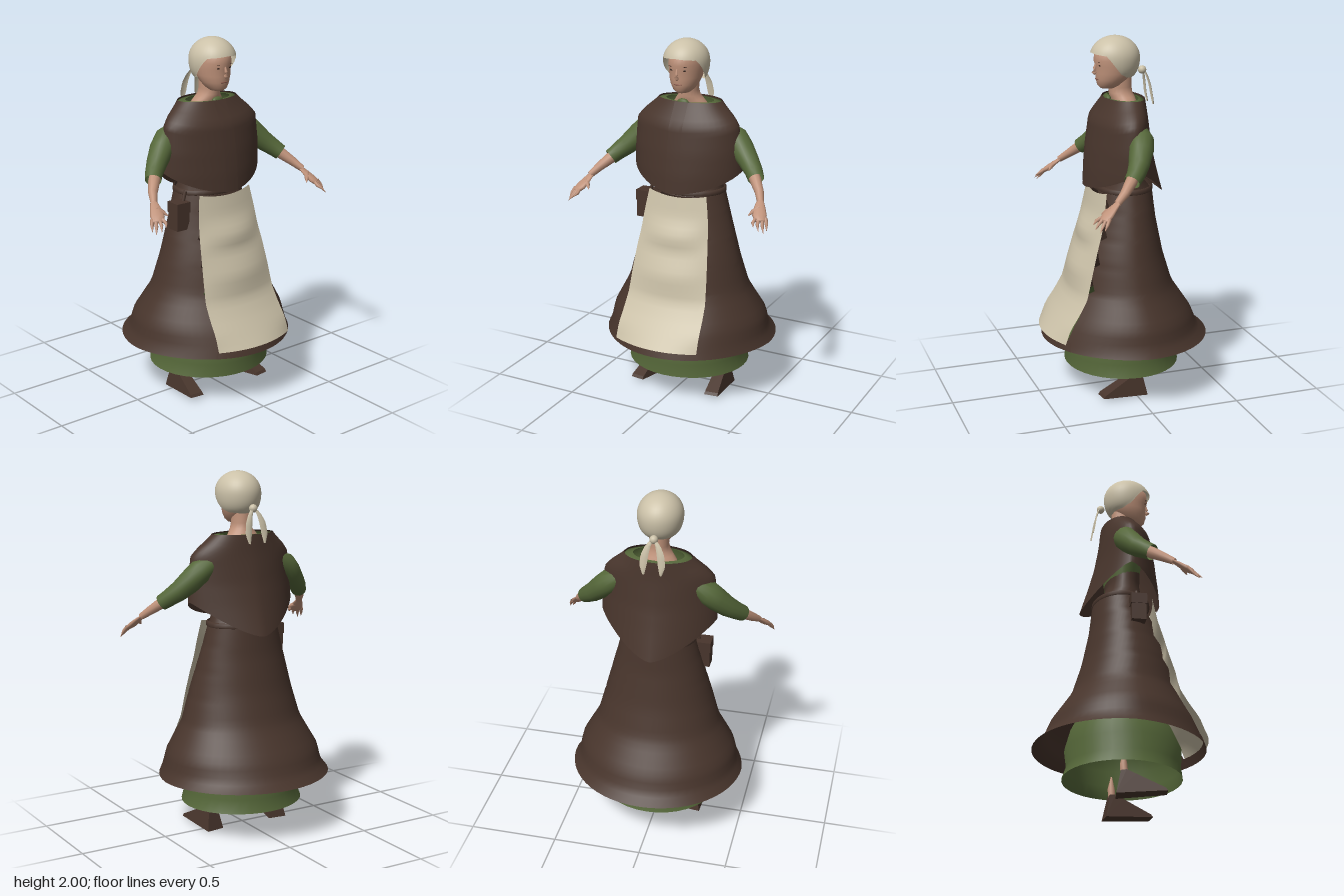
import * as THREE from 'three';
import { mergeVertices } from 'three/addons/utils/BufferGeometryUtils.js';

const paint = (name, color) => {
  const m = new THREE.MeshStandardMaterial({ color, side: THREE.DoubleSide });
  m.name = name;
  return m;
};

// Smooth surface from a rule giving a point for row v and column u (both 0..1)
function grid(rows, cols, rule) {
  const pos = [], index = [];
  for (let i = 0; i <= rows; i++)
    for (let j = 0; j <= cols; j++) pos.push(...rule(j / cols, i / rows, i));
  for (let i = 0; i < rows; i++)
    for (let j = 0; j < cols; j++) {
      const a = i * (cols + 1) + j, b = a + cols + 1;
      index.push(a, b, a + 1, a + 1, b, b + 1);
    }
  let g = new THREE.BufferGeometry();
  g.setAttribute('position', new THREE.Float32BufferAttribute(pos, 3));
  g.setIndex(index);
  g = mergeVertices(g, 1e-5);
  g.computeVertexNormals();
  return g;
}

// Interpolate a table of rows [y, ...values], listed from top to bottom
function at(table, y) {
  let k = 0;
  while (k < table.length - 2 && y < table[k + 1][0]) k++;
  const a = table[k], b = table[k + 1];
  const t = THREE.MathUtils.clamp((a[0] - y) / (a[0] - b[0]), 0, 1);
  return a.map((v, i) => v + (b[i] - v) * t);
}

// Point on the oval [y, halfWidth, frontZ, backZ]; angle 0 faces the front.
// A positive pinch draws the oval towards a diamond.
function oval([, rx, zf, zb], y, angle, pinch = 0) {
  const s = Math.sin(angle), c = Math.cos(angle);
  return [rx * s * Math.abs(s) ** pinch, y, (zf + zb) / 2 + ((zf - zb) / 2) * c * Math.abs(c) ** pinch];
}

const loft = (table, cols = 28) => grid(table.length - 1, cols,
  (u, v, i) => oval(table[i], table[i][0], u * Math.PI * 2));

// Tapered tube through points [x, y, z, radius], optionally flattened
function limb(points, flat = 1, sides = 10) {
  const p = points.map(q => new THREE.Vector3(q[0], q[1], q[2]));
  return grid(p.length - 1, sides, (u, v, i) => {
    const t = p[Math.min(i + 1, p.length - 1)].clone().sub(p[Math.max(i - 1, 0)]).normalize();
    const side = new THREE.Vector3(0, 1, 0).cross(t).normalize();
    const up = t.clone().cross(side), a = -u * Math.PI * 2, r = points[i][3];
    return p[i].clone().addScaledVector(side, -r * Math.cos(a))
      .addScaledVector(up, r * flat * Math.sin(a)).toArray();
  });
}

export function createModel() {
  const brown = paint('brownWool', 0x48352c), green = paint('greenCloth', 0x556739);
  const cream = paint('creamLinen', 0xcbc1a8), skin = paint('skin', 0xbf927a);
  const dark = paint('darkFeatures', 0x3d2a22), lip = paint('lips', 0x8c5d4f);
  const model = new THREE.Group();
  model.name = 'woman';
  const add = (name, geometry, material, parent = model) => {
    const m = new THREE.Mesh(geometry, material);
    m.name = name;
    parent.add(m);
    return m;
  };

  // Head and neck
  add('head', loft([[1.96, .05, .1, -.02], [1.92, .085, .155, -.06], [1.87, .092, .16, -.07],
    [1.84, .09, .152, -.07], [1.8, .086, .152, -.06], [1.765, .074, .148, -.03],
    [1.735, .055, .142, 0], [1.718, .034, .125, .03], [1.713, 0, .08, .08]]), skin);
  add('neck', loft([[1.8, .054, .08, -.05], [1.72, .052, .075, -.05], [1.69, .06, .075, -.055],
    [1.67, .076, .07, -.065], [1.64, .1, .06, -.075]], 20), skin);
  add('nose', limb([[0, 1.855, .15, .005], [0, 1.825, .158, .009], [0, 1.806, .161, .014],
    [0, 1.796, .153, .008]]), skin);
  const mouth = add('mouth', new THREE.SphereGeometry(.026, 12, 6), lip);
  mouth.scale.set(1, .17, .2);
  mouth.position.set(0, 1.768, .146);

  // Cap with its lower edge rising over the face
  add('cap', grid(18, 40, (u, v) => {
    const a = u * Math.PI * 2, fromFront = Math.abs(u > .5 ? u - 1 : u) * 360;
    const rim = at([[180, 1.77], [112, 1.78], [88, 1.805], [56, 1.902], [0, 1.912]], fromFront)[1];
    const theta = v * Math.acos((rim - 1.88) / .12);
    const r = theta > Math.PI / 2 ? Math.sqrt(Math.sin(theta)) : Math.sin(theta);
    return [.124 * r * Math.sin(a), 1.88 + .12 * Math.cos(theta), .043 + .138 * r * Math.cos(a)];
  }), cream);
  const knot = add('capKnot', new THREE.SphereGeometry(.023, 14, 10), cream);
  knot.position.set(0, 1.805, -.115);

  // Bodice and neckline
  add('greenBodice', loft([[1.662, .14, .08, -.08], [1.658, .182, .092, -.105], [1.6, .21, .1, -.1],
    [1.45, .2, .12, -.1], [1.3, .17, .1, -.09]]), green);
  const collar = add('collarPoint', new THREE.SphereGeometry(.035, 14, 8), green);
  collar.scale.set(1, .6, .5);
  collar.position.set(0, 1.66, .085);
  add('brownBodice', loft([[1.36, .17, .11, -.095], [1.28, .175, .105, -.085],
    [1.22, .185, .115, -.1], [1.15, .205, .15, -.155]]), brown);
  add('belt', loft([[1.185, .2, .155, -.155], [1.18, .21, .163, -.16],
    [1.16, .212, .165, -.162], [1.155, .205, .155, -.155]]), brown);

  // Short cape, lowest at the back and raised over the arms
  const capeTable = [[1.665, .185, .1, -.112], [1.645, .205, .11, -.115], [1.585, .275, .145, -.12],
    [1.545, .305, .17, -.125], [1.4, .32, .195, -.15], [1.28, .325, .21, -.182], [1.12, .325, .22, -.23]];
  const capePoint = (a, v, out = 0) => {
    const c = Math.cos(a), rim = c > 0 ? 1.3 - .12 * c ** 1.4 : 1.3 - .18 * c * c;
    const y = 1.665 + (rim - 1.665) * v;
    const p = oval(at(capeTable, y), y, a, Math.sqrt(v) * (c > 0 ? .15 : .33));
    return [p[0], p[1], p[2] + out];
  };
  add('cape', grid(16, 48, (u, v) => capePoint(u * Math.PI * 2, v)), brown);
  add('capePlacket', grid(16, 4, (u, v) => {
    const p = capePoint((u - .5) * .25, v, .004);
    return [(u - .5) * .08, p[1], p[2]];
  }), brown);

  // Overskirt, slightly narrower in front, open behind the apron with ragged edges
  const skirtTable = [[1.18, .2, .16, -.155, .12], [1, .25, .2, -.175, .17], [.8, .305, .27, -.215, .195],
    [.62, .355, .315, -.27, .21], [.45, .45, .41, -.385, .235], [.36, .465, .45, -.42, .225],
    [.315, .495, .465, -.475, .2]];
  const skirtPoint = (row, y, angle) => {
    const p = oval(row, y, angle);
    p[0] *= 1 - .09 * Math.max(Math.cos(angle), 0);
    return p;
  };
  add('overskirt', grid(24, 48, (u, v, i) => {
    const y = 1.18 - .865 * v, row = at(skirtTable, y);
    const edge = Math.asin((row[4] + ((i % 4) - 1.5) * (y > .55 ? .016 : .002)) / row[1]);
    return skirtPoint(row, y, edge + u * (Math.PI * 2 - 2 * edge));
  }), brown);
  add('frontHem', grid(2, 12, (u, v) => {
    const y = .365 - .05 * v;
    return skirtPoint(at(skirtTable, y), y, (u - .5) * 1.15);
  }), brown);

  // Apron with soft folds: rows are [y, halfWidth, centreZ, edgeZ]
  const apronTable = [[1.17, .175, .175, .15], [1.05, .195, .2, .17], [.95, .205, .25, .19],
    [.87, .215, .25, .215], [.74, .228, .305, .25], [.6, .238, .32, .285], [.52, .243, .365, .33],
    [.44, .248, .42, .385], [.36, .25, .475, .415]];
  add('apron', grid(24, 14, (u, v) => {
    const s = u * 2 - 1, y = 1.17 - .81 * v, [, w, zc, ze] = at(apronTable, y);
    return [s * w, y - .02 * (1 - s * s) * (1 - v), zc + (ze - zc) * s * s];
  }), cream);

  // Green underskirt
  add('underskirt', loft([[.52, .24, .2, -.22], [.42, .3, .28, -.27], [.31, .33, .33, -.3],
    [.22, .322, .325, -.288], [.15, .347, .333, -.312]], 36), green);

  // Pouch hanging from the belt
  const pouch = new THREE.Group();
  pouch.name = 'pouch';
  add('pouchBag', new THREE.BoxGeometry(.08, .15, .08), brown, pouch).position.set(-.245, 1.05, .06);
  add('pouchFlap', new THREE.BoxGeometry(.088, .06, .088), brown, pouch).position.set(-.245, 1.1, .06);
  add('pouchStrap', limb([[-.2, 1.18, .06, .01], [-.22, 1.12, .06, .01]]), brown, pouch);
  model.add(pouch);

  // Shoe side profile, narrowed toward the ankle and the toe
  const profile = [[-.055, .005], [.21, .025], [.2, .04], [.05, .115], [0, .14], [-.03, .135]];
  const shoe = new THREE.ExtrudeGeometry(new THREE.Shape(profile.map(q => new THREE.Vector2(...q))),
    { depth: .1, bevelEnabled: false });
  shoe.translate(0, -.005, -.05).rotateY(-Math.PI / 2);
  const sp = shoe.attributes.position;
  for (let i = 0; i < sp.count; i++)
    sp.setX(i, sp.getX(i) * (1.05 - 3.8 * sp.getY(i) - .8 * Math.max(sp.getZ(i), 0)));
  shoe.computeVertexNormals();

  // Paired parts, built on the left and mirrored
  const fingerTips = [[.6, 1.095, .305], [.593, 1.085, .328], [.572, 1.1, .347], [.545, 1.12, .35]];
  const tieTable = [[1.81, 0, -.118, .008], [1.78, .025, -.13, .014], [1.73, .042, -.143, .02],
    [1.67, .05, -.152, .02], [1.62, .047, -.16, .006]];
  for (const s of [1, -1]) {
    const half = new THREE.Group();
    half.name = s > 0 ? 'leftSide' : 'rightSide';
    half.scale.x = s;
    model.add(half);

    add('sleeve', limb([[.2, 1.51, -.02, .05], [.27, 1.47, -.012, .068], [.315, 1.425, .005, .066],
      [.375, 1.365, .04, .056], [.42, 1.325, .075, .048], [.447, 1.298, .105, .044]], 1, 14), green, half);
    add('forearm', limb([[.4, 1.335, .07, .032], [.445, 1.295, .11, .032], [.49, 1.25, .16, .025],
      [.52, 1.212, .21, .018]]), skin, half);
    add('palm', limb([[.515, 1.217, .2, .018], [.528, 1.19, .235, .03], [.544, 1.16, .272, .038],
      [.56, 1.14, .297, .03], [.564, 1.135, .302, 0]], .42), skin, half);
    fingerTips.forEach(([x, y, z], i) => add('finger', limb([
      [.578 - .014 * i, 1.15, .27 + .011 * i, .011],
      [.584 - .014 * i + (x - .578) / 3, (1.152 + y) / 2, (.272 + .011 * i + z) / 2, .009],
      [x, y, z, .001]], 1, 6), skin, half));
    add('thumb', limb([[.527, 1.19, .24, .014], [.503, 1.173, .265, .012], [.485, 1.155, .285, .002]], 1, 6),
      skin, half);

    const foot = add('shoe', shoe, brown, half);
    foot.position.x = .213;
    foot.rotation.y = .12;
    add('ankle', loft([[.24, .004, -.01, -.018], [.17, .02, .005, -.035], [.1, .022, .01, -.03]], 10)
      .translate(.213, 0, 0), skin, half);

    // Flat ribbon falling from the knot
    add('capTie', grid(10, 2, (u, v) => {
      const y = 1.81 - .19 * v, [, x, z, w] = at(tieTable, y);
      return [x + (u * 2 - 1) * w, y, z - (u === .5 ? .008 : 0)];
    }), cream, half);

    const eye = add('eye', new THREE.SphereGeometry(.012, 10, 8), dark, half);
    eye.scale.set(1, .42, .3);
    eye.position.set(.037, 1.845, .142);
    const brow = add('eyebrow', new THREE.SphereGeometry(.019, 10, 6), dark, half);
    brow.scale.set(1, .1, .2);
    brow.position.set(.037, 1.865, .146);
  }
  return model;
}
